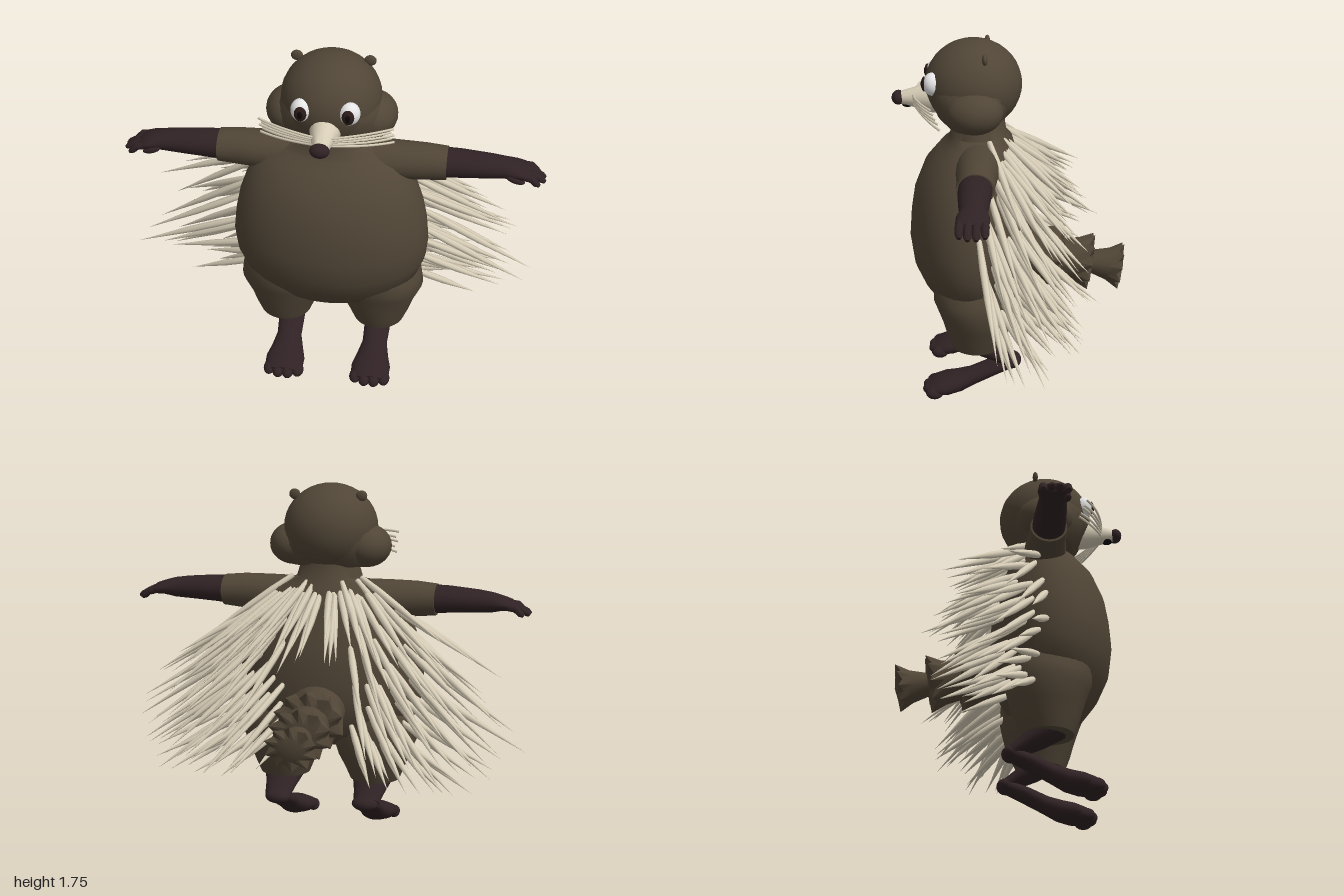
import * as THREE from 'three';
import { mergeGeometries, toCreasedNormals } from 'three/addons/utils/BufferGeometryUtils.js';

const V = (x, y, z) => new THREE.Vector3(x, y, z);
const X = V(1, 0, 0), Z = V(0, 0, 1);

const paint = (name, color) => {
  const m = new THREE.MeshStandardMaterial({ color });
  m.name = name;
  return m;
};

// Skin over elliptical rings [x, y, z, radius along u, radius across u]; the ends are closed.
function loft(rings, u, sides = 24) {
  const all = [[...rings[0].slice(0, 3), 0, 0], ...rings, [...rings.at(-1).slice(0, 3), 0, 0]];
  const pts = all.map(r => V(r[0], r[1], r[2]));
  const pos = [], idx = [];
  all.forEach((r, i) => {
    const a = Math.max(Math.min(i - 1, all.length - 3), 0), b = Math.min(Math.max(i + 1, 2), all.length - 1);
    const t = pts[b].clone().sub(pts[a]).normalize();
    const v = t.cross(u).normalize();
    for (let j = 0; j < sides; j++) {
      const w = j / sides * Math.PI * 2;
      const p = pts[i].clone().addScaledVector(u, Math.cos(w) * r[3]).addScaledVector(v, Math.sin(w) * r[4]);
      pos.push(p.x, p.y, p.z);
      if (i < all.length - 1) {
        const k = (j + 1) % sides, n = i * sides;
        idx.push(n + j, n + k, n + sides + j, n + k, n + sides + k, n + sides + j);
      }
    }
  });
  const g = new THREE.BufferGeometry();
  g.setAttribute('position', new THREE.Float32BufferAttribute(pos, 3));
  g.setIndex(idx);
  return toCreasedNormals(g, 0.75);
}

export function createModel() {
  const root = new THREE.Group();
  root.name = 'porcupine';
  const fur = paint('brown fur', 0x504536), skin = paint('dark skin', 0x302224);
  const cream = paint('cream', 0xd6ccb6), white = paint('eye white', 0xe6e6e6);
  const iris = paint('dark iris', 0x2c1c1a), black = paint('pupil black', 0x0c0a0a);

  const add = (name, geo, mat) => {
    const m = new THREE.Mesh(geo, mat);
    m.name = name;
    root.add(m);
    return m;
  };
  const ball = (name, mat, p, r) => {
    const m = add(name, new THREE.SphereGeometry(1, 28, 20), mat);
    m.position.set(...p);
    m.scale.set(...r);
    return m;
  };

  // Torso sections: height, half width, front z, back z
  const torso = [
    [0.435, 0.06, 0.2, 0.1], [0.45, 0.16, 0.26, 0.05], [0.5, 0.32, 0.36, -0.03], [0.6, 0.425, 0.43, -0.08],
    [0.7, 0.46, 0.475, -0.1], [0.8, 0.47, 0.49, -0.1], [0.9, 0.46, 0.482, -0.1], [1.0, 0.44, 0.465, -0.09],
    [1.1, 0.405, 0.42, -0.07], [1.2, 0.345, 0.345, -0.04], [1.26, 0.25, 0.31, -0.01],
    [1.3, 0.165, 0.29, 0.02], [1.38, 0.14, 0.28, 0.03],
  ];
  add('torso', loft(torso.map(([y, w, f, b]) => [0, y, (f + b) / 2, w, (f - b) / 2]), X, 40), fur);

  // Head, with a broad flat-bottomed jaw
  ball('head', fur, [0, 1.54, 0.175], [0.232, 0.215, 0.23]);
  add('jaw', loft([[0, 1.358, 0.18, 0.22, 0.13], [0, 1.4, 0.18, 0.25, 0.17], [0, 1.46, 0.18, 0.262, 0.195],
    [0, 1.53, 0.18, 0.24, 0.215], [0, 1.58, 0.18, 0.21, 0.2]], X, 36), fur);
  add('snout', loft([[0, 1.475, 0.31, 0.085, 0.085], [0, 1.472, 0.38, 0.07, 0.075],
    [0, 1.47, 0.45, 0.052, 0.05], [0, 1.468, 0.52, 0.034, 0.031]], X), cream);
  ball('nose', skin, [0, 1.468, 0.533], [0.045, 0.034, 0.032]);
  ball('mouth', black, [0, 1.434, 0.49], [0.026, 0.012, 0.026]);

  for (const s of [-1, 1]) {
    const side = s > 0 ? 'left' : 'right';
    ball(side + 'Cheek', fur, [s * 0.185, 1.455, 0.165], [0.12, 0.105, 0.135]);
    ball(side + 'Ear', fur, [s * 0.168, 1.702, 0.115], [0.028, 0.026, 0.013]);

    // Eyes
    ball(side + 'Eye', white, [s * 0.108, 1.567, 0.362], [0.049, 0.055, 0.046]);
    ball(side + 'Iris', iris, [s * 0.107, 1.567, 0.4], [0.028, 0.036, 0.015]);
    ball(side + 'Pupil', black, [s * 0.107, 1.567, 0.408], [0.015, 0.022, 0.009]);

    // Whiskers
    const hairs = [0.045, 0.02, 0, -0.025, -0.05].map((k, i) => new THREE.TubeGeometry(
      new THREE.QuadraticBezierCurve3(V(s * 0.03, 1.47 + k * 0.4, 0.46),
        V(s * 0.19, 1.465 + k * 0.9, 0.44 - 0.01 * i), V(s * (0.305 - 0.012 * (i % 2)), 1.455 + k, 0.355 - 0.01 * i)), 10, 0.006, 6));
    add(side + 'Whiskers', mergeGeometries(hairs), cream);

    // Arm: furry sleeve, bare forearm and hand
    add(side + 'UpperArm', loft([[s * 0.12, 1.195, 0.14, 0.11, 0.1], [s * 0.32, 1.205, 0.148, 0.1, 0.09],
      [s * 0.44, 1.207, 0.148, 0.09, 0.087], [s * 0.54, 1.207, 0.148, 0.087, 0.077]], Z), fur);
    add(side + 'Forearm', loft([[s * 0.52, 1.21, 0.148, 0.078, 0.07], [s * 0.6, 1.212, 0.148, 0.077, 0.066],
      [s * 0.74, 1.21, 0.147, 0.068, 0.056], [s * 0.81, 1.207, 0.145, 0.062, 0.049],
      [s * 0.86, 1.205, 0.145, 0.074, 0.036], [s * 0.9, 1.198, 0.145, 0.074, 0.028], [s * 0.925, 1.188, 0.145, 0.05, 0.016]], Z), skin);
    for (let i = 0; i < 4; i++) {
      const z = 0.09 + i * 0.037, reach = i % 3 ? 0.995 : 0.97;
      add(side + 'Finger', loft([[s * 0.87, 1.2, z, 0.016, 0.018], [s * 0.93, 1.192, z, 0.019, 0.019],
        [s * (reach - 0.015), 1.167, z, 0.018, 0.016], [s * reach, 1.157, z, 0.01, 0.009]], Z, 10), skin);
    }
    const thumb = ball(side + 'Thumb', skin, [s * 0.86, 1.18, 0.205], [0.045, 0.017, 0.017]);
    thumb.rotation.z = s * -0.3;

    // Leg: furry thigh, shin running back to the hock, long foot running forward
    add(side + 'Thigh', loft([[s * 0.235, 0.28, 0.16, 0.125, 0.12], [s * 0.235, 0.34, 0.16, 0.15, 0.145],
      [s * 0.23, 0.41, 0.155, 0.18, 0.17], [s * 0.235, 0.5, 0.155, 0.215, 0.195],
      [s * 0.24, 0.57, 0.165, 0.2, 0.205], [s * 0.24, 0.64, 0.18, 0.17, 0.19], [s * 0.23, 0.72, 0.19, 0.14, 0.15]], X, 32), fur);
    add(side + 'Shin', loft([[s * 0.23, 0.34, 0.19, 0.1, 0.08], [s * 0.23, 0.28, 0.115, 0.098, 0.062],
      [s * 0.23, 0.235, 0.055, 0.078, 0.042], [s * 0.23, 0.195, -0.005, 0.065, 0.034]], X), skin);
    ball(side + 'Hock', skin, [s * 0.225, 0.19, -0.012], [0.066, 0.037, 0.044]);
    add(side + 'Foot', loft([[s * 0.225, 0.19, -0.015, 0.062, 0.03], [s * 0.222, 0.15, 0.08, 0.066, 0.038],
      [s * 0.22, 0.1, 0.18, 0.062, 0.042], [s * 0.218, 0.07, 0.25, 0.08, 0.05],
      [s * 0.218, 0.055, 0.31, 0.097, 0.05], [s * 0.218, 0.042, 0.365, 0.095, 0.04], [s * 0.218, 0.036, 0.395, 0.08, 0.028]], X), skin);
    for (let i = 0; i < 4; i++) {
      ball(side + 'Toe', skin, [s * (0.146 + i * 0.048), 0.032, i % 3 ? 0.388 : 0.37], [0.029, 0.031, 0.042]);
    }
  }

  // Tail: flared cups with spiky rims, stacked along a slightly drooping axis
  const tail = new THREE.Group();
  tail.name = 'tail';
  tail.position.set(0, 0.685, -0.02);
  tail.quaternion.setFromUnitVectors(V(0, 1, 0), V(0, -0.16, -0.98).normalize());
  tail.scale.z = 0.87;
  root.add(tail);
  for (const [at, r0, r1, h] of [[-0.05, 0.13, 0.18, 0.28], [0.2, 0.1, 0.16, 0.18], [0.37, 0.06, 0.132, 0.16]]) {
    const g = new THREE.LatheGeometry([[r0, 0], [(r0 + r1) * 0.47, h * 0.6], [r1, h], [r1 * 0.5, h + 0.005], [0, h + 0.015]]
      .map(p => new THREE.Vector2(...p)), 20);
    const p = g.attributes.position;
    for (let i = 0; i < p.count; i++) {
      // pull in every other rim point
      if (i % 5 === 2 && Math.floor(i / 5) % 2) p.setXYZ(i, p.getX(i) * 0.8, h - 0.022, p.getZ(i) * 0.8);
    }
    const cup = new THREE.Mesh(toCreasedNormals(g, 0.5), fur);
    cup.name = 'tailCup';
    cup.position.y = at;
    tail.add(cup);
  }

  // Quills: tapered needles in rows round the back, swept outward and down
  let seed = 7;
  const jitter = a => {
    seed = (seed * 16807) % 2147483647;
    return (seed / 2147483647 * 2 - 1) * a;
  };
  const needle = new THREE.LatheGeometry([[0, 0], [0.013, 0.01], [0.018, 0.25], [0.0165, 0.5], [0.007, 0.78], [0, 1]]
    .map(p => new THREE.Vector2(...p)), 7);
  // Row: height, half width, back z, centre z, widest angle, count, length
  const rows = [
    [1.28, 0.2, 0.01, 0.15, 1.1, 17, 0.5], [1.21, 0.32, -0.03, 0.15, 1.2, 19, 0.53],
    [1.12, 0.39, -0.06, 0.17, 1.35, 20, 0.53], [1.02, 0.43, -0.085, 0.19, 1.35, 18, 0.55],
    [0.91, 0.455, -0.1, 0.19, 1.35, 18, 0.55], [0.8, 0.465, -0.1, 0.19, 1.35, 18, 0.54],
    [0.7, 0.455, -0.1, 0.18, 1.3, 19, 0.5], [0.6, 0.43, -0.08, 0.17, 1.3, 19, 0.45],
    [0.52, 0.43, -0.04, 0.15, 1.25, 16, 0.38],
  ];
  const quills = [];
  rows.forEach(([y, w, back, cz, span, count, length], row) => {
    for (let i = 0; i < count; i++) {
      const a = (i / (count - 1) * 2 - 1) * span + jitter(0.05);
      // the middle of the back stays bare above and around the tail
      if (row > 1 && Math.abs(a) < 0.38) continue;
      const from = V(Math.sin(a) * (w - 0.015), y + jitter(0.035), cz - Math.cos(a) * (cz - back - 0.015));
      const fall = 0.54 + 0.12 * Math.cos(a) + jitter(0.11) - (row > 6 ? 0.1 : 0);
      const dir = V(Math.sin(a) * 0.95 + jitter(0.07), -fall, -Math.cos(a) * 0.85 - 0.06 + jitter(0.08)).normalize();
      const turn = new THREE.Quaternion().setFromUnitVectors(V(0, 1, 0), dir);
      const long = length * (0.82 + 0.34 * Math.sin(a) ** 2) + jitter(0.05);
      quills.push(needle.clone().applyMatrix4(new THREE.Matrix4().compose(from, turn, V(1, long, 1))));
    }
  });
  add('quills', mergeGeometries(quills), cream);

  return root;
}
